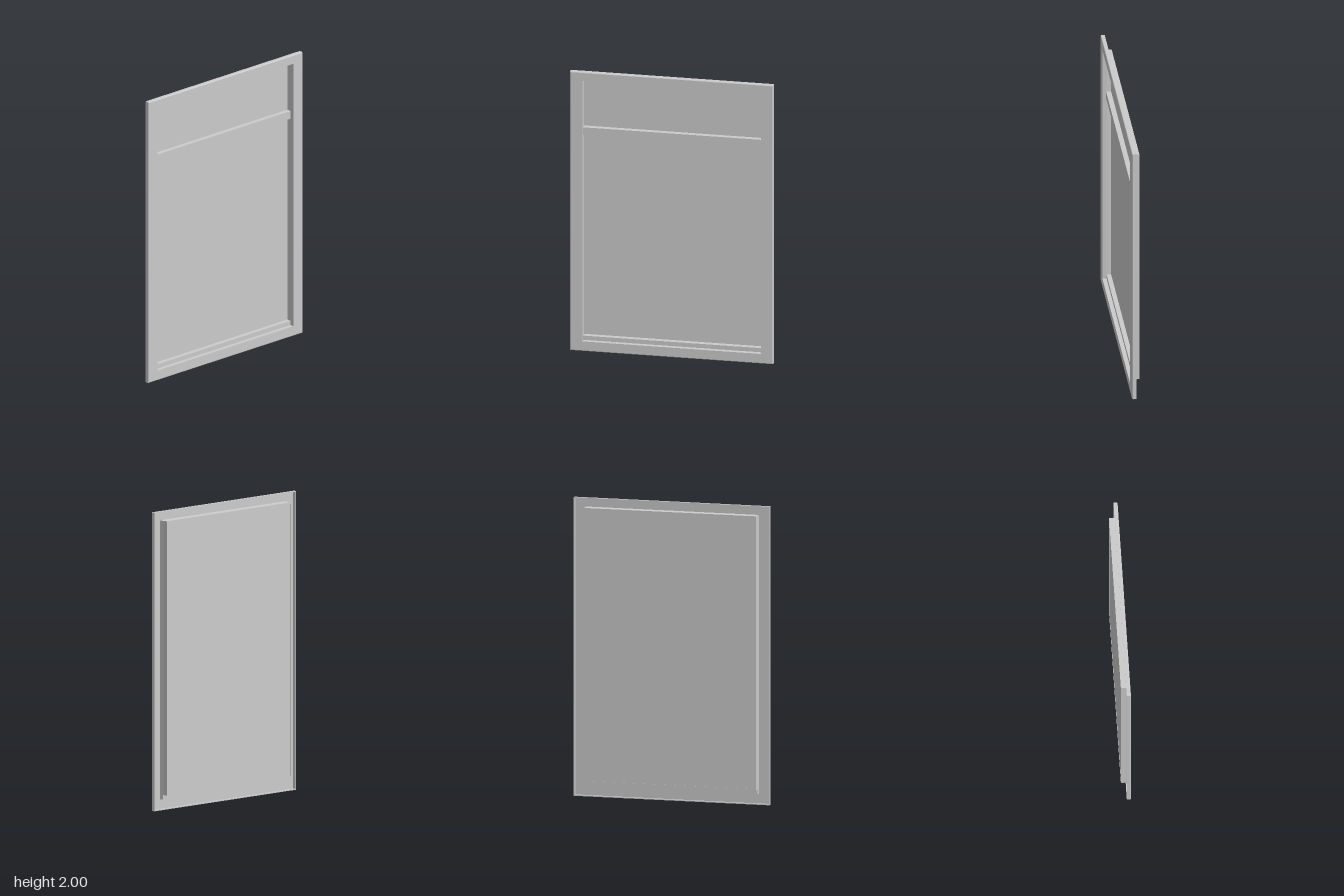
import * as THREE from 'three';

const material = new THREE.MeshStandardMaterial({ color: 0xcccccc, side: THREE.DoubleSide, flatShading: true });

// Skin through nested rectangles, each given as [halfWidth, bottom, top, z]
function rectLoft(name, rings) {
  const positions = [];
  const corners = rings.map(([w, b, t, z]) => [[-w, b, z], [w, b, z], [w, t, z], [-w, t, z]]);
  for (let i = 0; i < corners.length - 1; i++) {
    for (let k = 0; k < 4; k++) {
      const n = (k + 1) % 4;
      const a = corners[i][k], b = corners[i][n], c = corners[i + 1][n], d = corners[i + 1][k];
      positions.push(...a, ...b, ...c, ...a, ...c, ...d);
    }
  }
  const geometry = new THREE.BufferGeometry();
  geometry.setAttribute('position', new THREE.Float32BufferAttribute(positions, 3));
  geometry.computeVertexNormals();
  const mesh = new THREE.Mesh(geometry, material);
  mesh.name = name;
  return mesh;
}

function box(name, halfWidth, y0, y1, z0, z1) {
  const mesh = new THREE.Mesh(new THREE.BoxGeometry(2 * halfWidth, y1 - y0, z1 - z0), material);
  mesh.position.set(0, (y0 + y1) / 2, (z0 + z1) / 2);
  mesh.name = name;
  return mesh;
}

export function createModel() {
  const group = new THREE.Group();
  group.name = 'framedPanel';

  // Front frame: hollow behind, eased outer edges
  group.add(rectLoft('frame', [
    [0.602, 0.07, 1.937, 0.026],
    [0.679, 0.006, 1.994, 0.026],
    [0.679, 0.006, 1.994, 0.003],
    [0.684, 0, 2, 0.003],
    [0.684, 0, 2, 0.025],
    [0.682, 0.002, 1.998, 0.029],
    [0.678, 0.006, 1.994, 0.031],
    [0.604, 0.07, 1.938, 0.031],
  ]));

  // Sleeve around the opening, with a raised sill and a narrow lip at the back
  group.add(rectLoft('sleeve', [
    [0.604, 0.07, 1.938, 0.031],
    [0.601, 0.07, 1.936, 0.003],
    [0.601, 0.1, 1.936, 0.003],
    [0.601, 0.1, 1.936, -0.031],
    [0.592, 0.109, 1.927, -0.031],
    [0.592, 0.109, 1.927, -0.028],
  ]));

  // Recessed panel and the cross rail in front of it
  group.add(box('panel', 0.6, 0.101, 1.935, -0.029, -0.027));
  group.add(box('crossRail', 0.6, 1.54, 1.595, -0.027, 0.006));
  return group;
}
